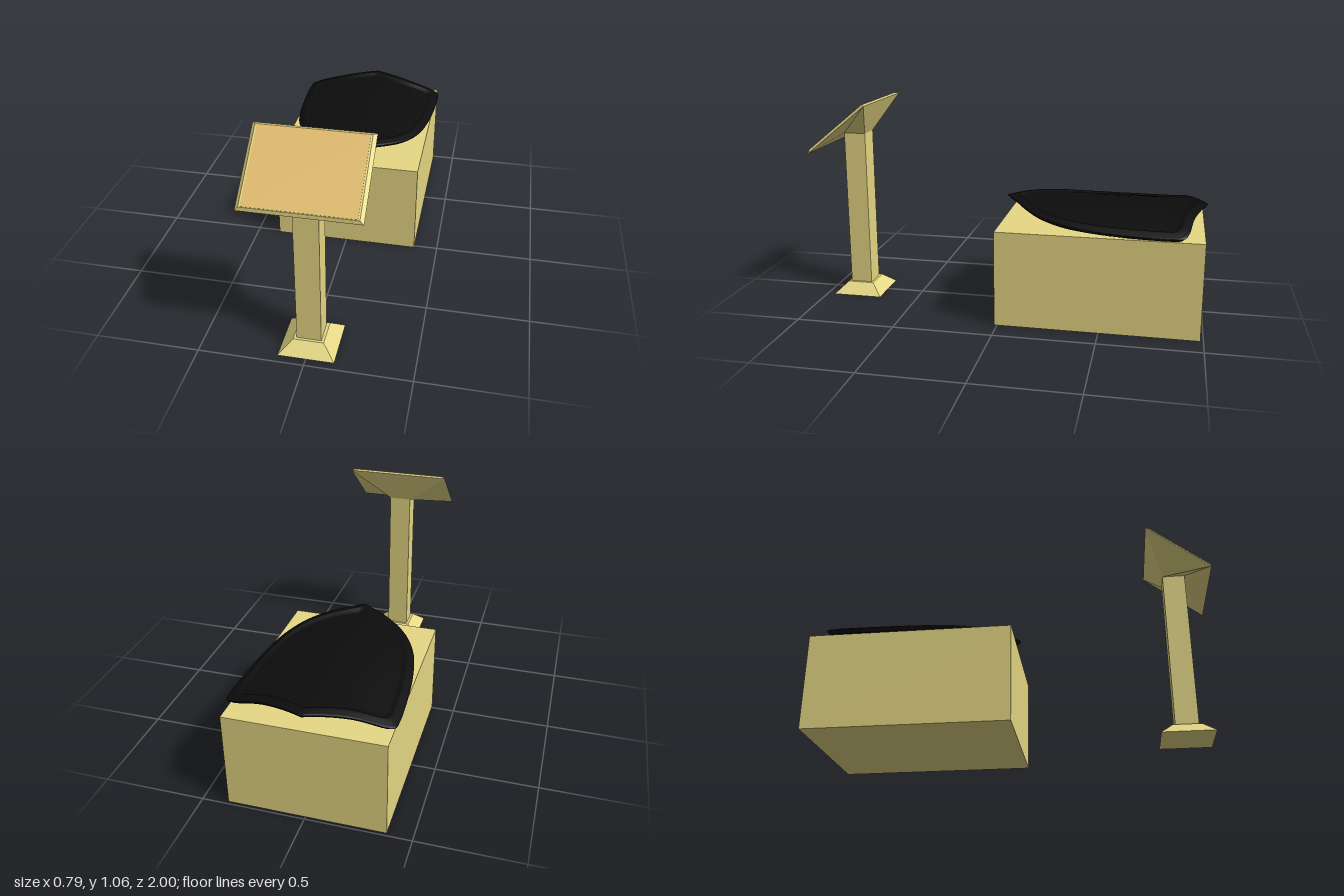
import * as THREE from 'three';

const tan = new THREE.MeshStandardMaterial({ color: 0xe6d885, side: THREE.DoubleSide });
const orange = new THREE.MeshStandardMaterial({ color: 0xe0ba6a });
const black = new THREE.MeshStandardMaterial({ color: 0x0c0c0c });

// Four corners, counter-clockwise from above, starting front right
const rect = (w, y, zFront, zBack) => [[-w, y, zFront], [w, y, zFront], [w, y, zBack], [-w, y, zBack]];

// Corners on the tilted reading desk: s runs up the slope, n is height above it
function slopeRect(w, s0, s1, n) {
  const at = (x, s) => [x, 0.805 + 0.628 * s + 0.778 * n, 1 - 0.778 * s + 0.628 * n];
  return [at(-w, s0), at(w, s0), at(w, s1), at(-w, s1)];
}

// Flat-faced solid between two four-cornered loops
function loft(a, b) {
  const p = [];
  for (let i = 0; i < 4; i++) {
    const j = (i + 1) % 4;
    p.push(a[i], a[j], b[j], a[i], b[j], b[i]);
  }
  p.push(b[0], b[1], b[2], b[0], b[2], b[3], a[0], a[2], a[1], a[0], a[3], a[2]);
  const g = new THREE.BufferGeometry();
  g.setAttribute('position', new THREE.Float32BufferAttribute(p.flat(), 3));
  g.computeVertexNormals();
  return g;
}

// Heater shield: an outline shrunk in rings, bent down towards both sides
function shieldGeometry() {
  const half = [[0, 0.02], [0.07, -0.025], [0.17, -0.09], [0.26, -0.175], [0.33, -0.3], [0.37, -0.47],
    [0.39, -0.68], [0.394, -0.84], [0.388, -0.885], [0.36, -0.905], [0.22, -0.93], [0.1, -0.965], [0, -1]];
  const curve = new THREE.CatmullRomCurve3(half.map(([x, z]) => new THREE.Vector3(x, 0, z)));
  const right = curve.getPoints(60);
  const left = right.slice(1, -1).reverse().map(v => new THREE.Vector3(-v.x, 0, v.z));
  const outline = [...right, ...left];
  // [scale, height]: underside centre, outer edge, raised rim, top centre
  const rings = [[0.001, 0], [0.3, 0], [0.6, 0], [0.85, 0], [0.955, 0], [0.96, 0], [0.995, 0.018], [1, 0.023],
    [0.98, 0.026], [0.95, 0.026], [0.92, 0.031], [0.89, 0.029], [0.865, 0.02], [0.83, 0.019],
    [0.65, 0.019], [0.45, 0.02], [0.25, 0.021], [0.001, 0.022]];
  const pos = [], idx = [], n = outline.length, zc = -0.52;
  rings.forEach(([s, h], r) => outline.forEach((v, i) => {
    const x = v.x * s;
    pos.push(x, 0.552 + h - 0.46 * x * x, zc + (v.z - zc) * s);
    if (r === 0) return;
    const j = (i + 1) % n, a = (r - 1) * n, b = r * n;
    idx.push(a + i, a + j, b + j, a + i, b + j, b + i);
  }));
  const g = new THREE.BufferGeometry();
  g.setAttribute('position', new THREE.Float32BufferAttribute(pos, 3));
  g.setIndex(idx);
  g.computeVertexNormals();
  return g;
}

export function createModel() {
  const model = new THREE.Group();
  const add = (name, geometry, material, parent = model) => {
    const m = new THREE.Mesh(geometry, material);
    m.name = name;
    parent.add(m);
    return m;
  };

  // Display block with the shield lying on it
  add('displayBlock', new THREE.BoxGeometry(0.757, 0.482, 1), tan).position.set(-0.002, 0.241, -0.485);
  add('shield', shieldGeometry(), black);

  // Information stand
  const stand = new THREE.Group();
  stand.name = 'infoStand';
  model.add(stand);
  add('standFoot', loft(rect(0.133, 0, 0.96, 0.7), rect(0.072, 0.056, 0.9, 0.76)), tan, stand);
  add('standPost', loft(rect(0.058, 0.05, 0.887, 0.773), rect(0.058, 0.88, 0.887, 0.773)), tan, stand);
  add('deskSupport', loft(rect(0.058, 0.88, 0.887, 0.773), slopeRect(0.27, 0, 0.398, 0)), tan, stand);
  add('deskFrame', loft(slopeRect(0.27, 0, 0.398, 0), slopeRect(0.253, 0.0125, 0.385, 0.0145)), tan, stand);
  add('deskPanel', loft(slopeRect(0.245, 0.015, 0.383, 0.013), slopeRect(0.245, 0.015, 0.383, 0.0165)), orange, stand);
  return model;
}
